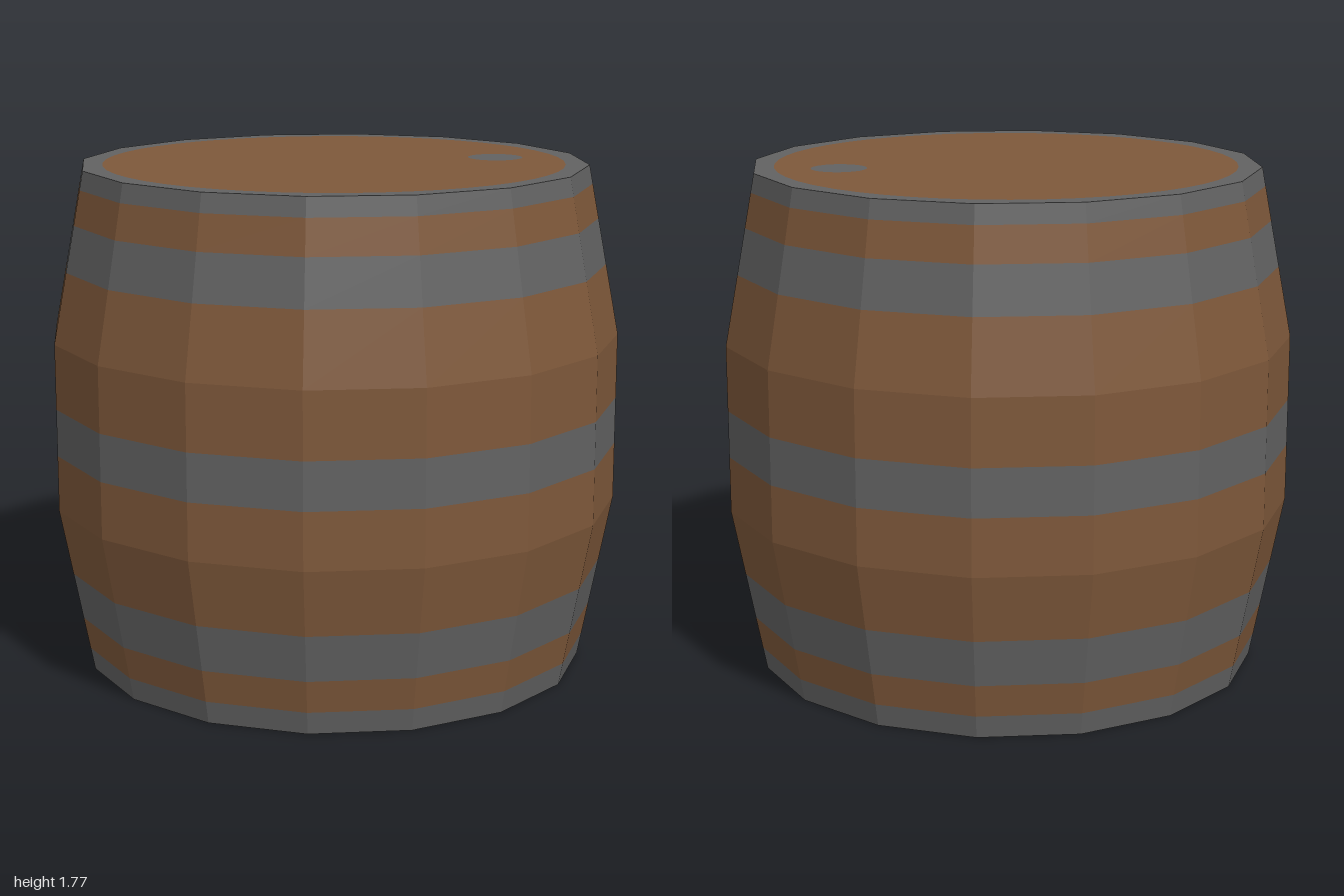
import * as THREE from 'three';

const SIDES = 16;
const HEIGHT = 1.775;
const END_RADIUS = 0.887;

// Barrel radius at a given height: tapered ends, straight middle
function radiusAt(y) {
  const fromEnd = Math.min(y, HEIGHT - y);
  return THREE.MathUtils.lerp(END_RADIUS, 1, Math.min(fromEnd / 0.592, 1));
}

function circle(radius, sides, x = 0, y = 0) {
  const points = [];
  for (let i = 0; i < sides; i++) {
    const a = (i / sides) * Math.PI * 2;
    points.push(new THREE.Vector2(x + Math.cos(a) * radius, y + Math.sin(a) * radius));
  }
  return points;
}

// Flat disc with optional holes
function disc(outline, holes = []) {
  const shape = new THREE.Shape(outline);
  for (const h of holes) shape.holes.push(new THREE.Path(h));
  return new THREE.ShapeGeometry(shape);
}

export function createModel() {
  const wood = new THREE.MeshStandardMaterial({ color: 0x7e583a, flatShading: true });
  wood.name = 'wood brown';
  const iron = new THREE.MeshStandardMaterial({ color: 0x626262, flatShading: true });
  iron.name = 'iron grey';

  const barrel = new THREE.Group();
  barrel.name = 'barrel';
  const add = (name, geometry, material, parent = barrel) => {
    const mesh = new THREE.Mesh(geometry, material);
    mesh.name = name;
    parent.add(mesh);
    return mesh;
  };

  // Side wall: alternating staves and flush hoops, split where the wall bends
  const levels = [
    [0, 0.08, 'hoop'], [0.08, 0.195, 'staves'], [0.195, 0.36, 'hoop'],
    [0.36, 0.592, 'staves'], [0.592, 0.79, 'staves'], [0.79, 0.955, 'hoop'],
    [0.955, 1.183, 'staves'], [1.183, 1.43, 'staves'], [1.43, 1.59, 'hoop'],
    [1.59, 1.71, 'staves'], [1.71, HEIGHT, 'hoop'],
  ];
  for (const [low, high, name] of levels) {
    const band = new THREE.CylinderGeometry(radiusAt(high), radiusAt(low), high - low, SIDES, 1, true);
    band.translate(0, (low + high) / 2, 0);
    add(name, band, name === 'hoop' ? iron : wood);
  }

  // Ends: iron rim around a round wooden head; the top head carries a plug
  for (const top of [true, false]) {
    const end = new THREE.Group();
    end.name = top ? 'topEnd' : 'bottomEnd';
    end.position.y = top ? HEIGHT : 0;
    end.rotation.x = top ? -Math.PI / 2 : Math.PI / 2;
    barrel.add(end);

    const head = circle(0.805, 48);
    const plug = circle(0.097, 20, 0.585, -0.04);
    add('rim', disc(circle(END_RADIUS, SIDES), [head]), iron, end);
    add('head', disc(head, top ? [plug] : []), wood, end);
    if (top) add('plug', disc(plug), iron, end);
  }

  return barrel;
}
